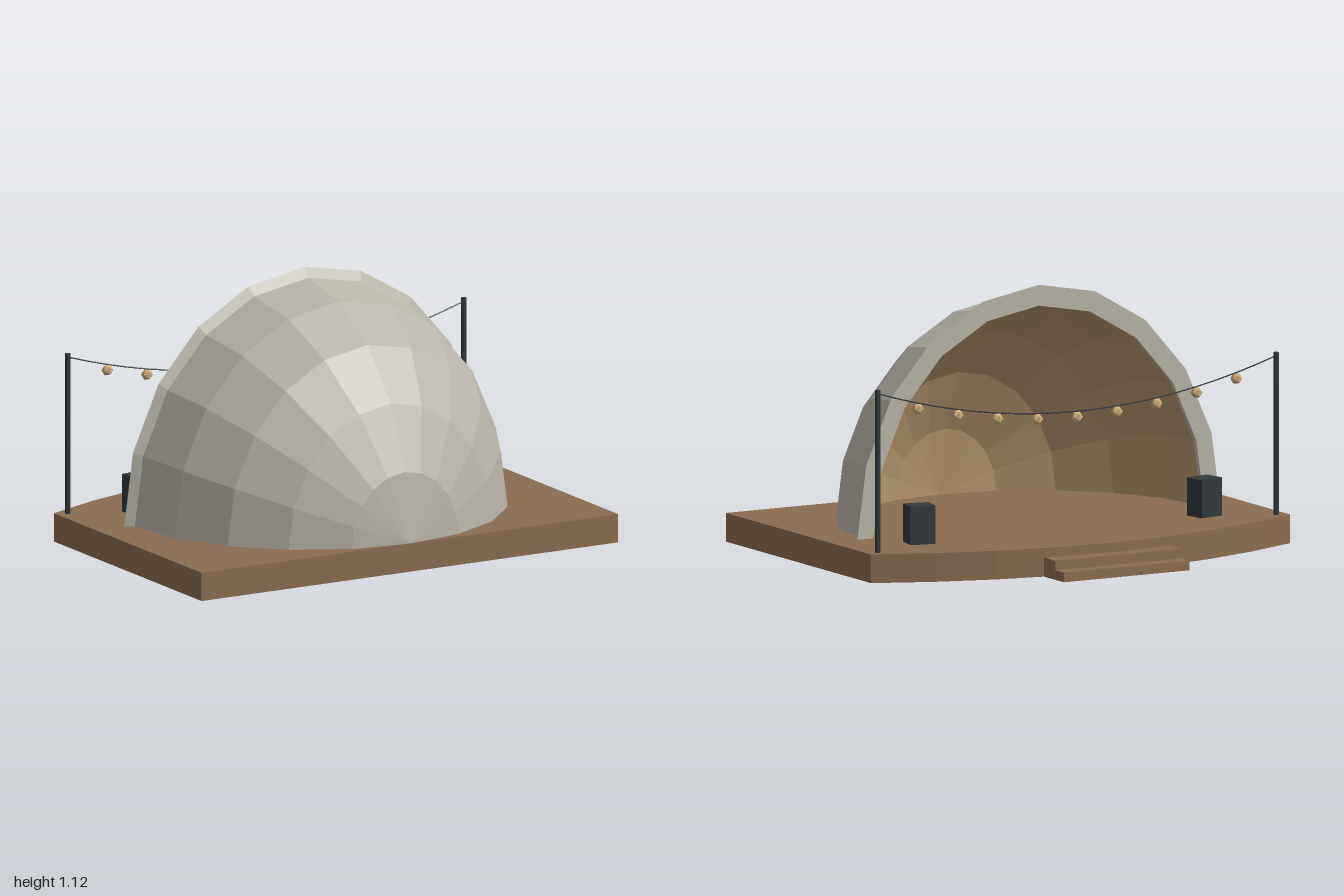
import * as THREE from 'three';

const mat = (name, color, side = THREE.FrontSide) =>
  new THREE.MeshStandardMaterial({ name, color, side, flatShading: true });

export function createModel() {
  const model = new THREE.Group();
  model.name = 'bandshell';
  const wood = mat('stage wood', 0x8a6c50);
  const shell = mat('shell grey', 0xb8b4a8, THREE.DoubleSide);
  const lining = mat('lining tan', 0xb6976c, THREE.BackSide);
  const metal = mat('dark metal', 0x30393b);
  const glow = mat('lamp tan', 0xd0aa78);

  const add = (name, geometry, material, x = 0, y = 0, z = 0) => {
    const mesh = new THREE.Mesh(geometry, material);
    mesh.name = name;
    mesh.position.set(x, y, z);
    model.add(mesh);
    return mesh;
  };

  const deck = 0.12;      // stage height
  const stretch = 1.15;   // shell is taller than it is wide

  // Stage: straight back, faceted curved front
  const plan = new THREE.Shape();
  plan.moveTo(-1, -0.79);
  plan.lineTo(1, -0.79);
  for (let i = 0; i <= 8; i++) {
    const x = 1 - i / 4;
    plan.lineTo(x, 0.65 - 0.24 * x * x);
  }
  const stage = new THREE.ExtrudeGeometry(plan, { depth: deck, bevelEnabled: false });
  stage.rotateX(-Math.PI / 2);
  add('stage', stage, wood);

  // Front steps
  [[0.72, 0.08], [0.79, 0.04]].forEach(([reach, h]) => {
    const depth = reach - 0.6;
    add('step', new THREE.BoxGeometry(0.6, h, depth), wood, 0, h / 2, -0.6 - depth / 2);
  });

  // Quarter-dome shell with its lining
  const dome = (r) => new THREE.SphereGeometry(r, 10, 5, Math.PI, Math.PI, 0, Math.PI / 2)
    .rotateX(Math.PI / 2).scale(1, stretch, 1);
  add('shell', dome(0.83), shell, 0, deck, -0.04);
  add('lining', dome(0.79), lining, 0, deck, -0.04);

  // Flared rim around the opening
  const profile = [[0.79, -0.04], [0.79, -0.065], [0.866, -0.065], [0.83, -0.04]]
    .map(([r, z]) => new THREE.Vector2(r, z));
  const rim = new THREE.LatheGeometry(profile, 10, Math.PI / 2, Math.PI)
    .rotateX(Math.PI / 2).scale(1, stretch, 1);
  add('rim', rim, shell, 0, deck, 0);

  // Posts and angled speakers, mirrored
  for (const s of [-1, 1]) {
    add('post', new THREE.CylinderGeometry(0.012, 0.012, 0.68, 8), metal, s * 0.95, deck + 0.34, -0.38);
    const speaker = add('speaker', new THREE.BoxGeometry(0.11, 0.16, 0.095), metal, s * 0.68, deck + 0.08, -0.255);
    speaker.rotation.y = -s * 0.2;
  }

  // Sagging cable with hanging lamps
  const sag = (x) => 0.632 + 0.153 * (x / 0.95) ** 2;
  const points = [];
  for (let i = -10; i <= 10; i++) points.push(new THREE.Vector3(i * 0.095, sag(i * 0.095), -0.38));
  add('cable', new THREE.TubeGeometry(new THREE.CatmullRomCurve3(points), 20, 0.003, 5), metal);
  for (let i = -4; i <= 4; i++) {
    const x = i * 0.19;
    add('lamp', new THREE.IcosahedronGeometry(0.025, 0), glow, x, sag(x) - 0.024, -0.38);
  }
  return model;
}
